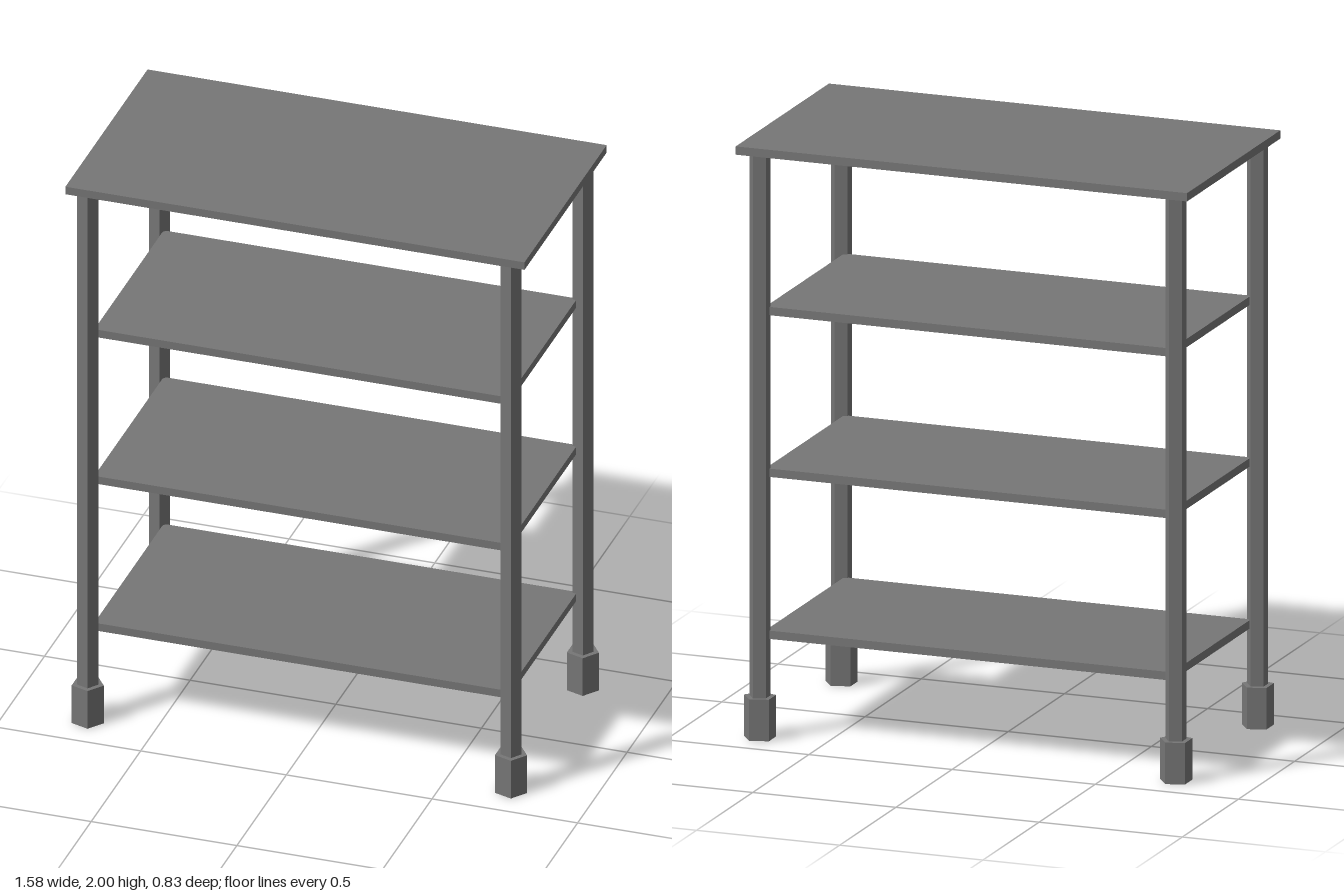
import * as THREE from 'three';

export function createModel() {
  const model = new THREE.Group();
  const material = new THREE.MeshStandardMaterial({ color: 0x767676, flatShading: true });

  const add = (name, geometry, x, y, z) => {
    const mesh = new THREE.Mesh(geometry, material);
    mesh.name = name;
    mesh.position.set(x, y, z);
    model.add(mesh);
  };

  // Five-sided prism with one corner pointing to +x
  const pentagon = (radius, height) =>
    new THREE.CylinderGeometry(radius, radius, height, 5, 1, false, Math.PI / 2);

  const thickness = 0.028;
  const footHeight = 0.14;
  const legTop = 2 - thickness;

  // Overhanging top board
  add('topBoard', new THREE.BoxGeometry(1.576, thickness, 0.83), 0, 2 - thickness / 2, -0.002);

  // Three shelves between the legs
  const shelf = new THREE.BoxGeometry(1.42, thickness, 0.7);
  [0.346, 0.892, 1.437].forEach((y, i) => add(`shelf${i + 1}`, shelf, 0, y, 0));

  // Four legs, each standing in a thicker foot
  const leg = pentagon(0.036, legTop - footHeight);
  const foot = pentagon(0.055, footHeight);
  for (const [side, x] of [['Right', -0.728], ['Left', 0.725]]) {
    for (const [end, z] of [['front', 0.363], ['back', -0.363]]) {
      add(`${end}${side}Leg`, leg, x, (legTop + footHeight) / 2, z);
      add(`${end}${side}Foot`, foot, x, footHeight / 2, z);
    }
  }

  return model;
}
